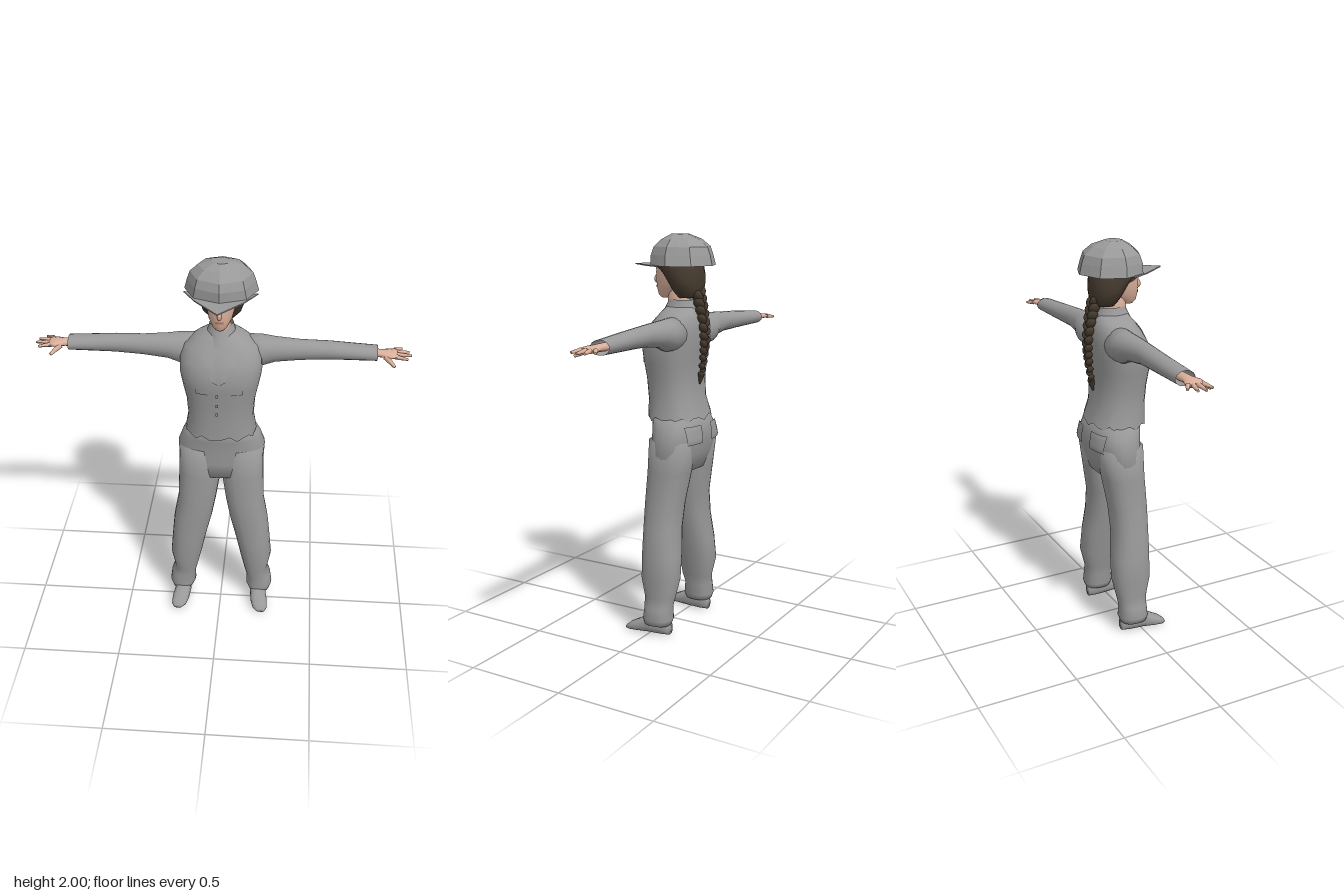
import * as THREE from 'three';

const mat = (name, color, side = THREE.DoubleSide, flatShading = false) => {
  const m = new THREE.MeshStandardMaterial({ color, side, flatShading });
  m.name = name;
  return m;
};

// Axis layouts: a section's (height, u, v) become x, y, z
const AXES = {
  y: (h, u, v) => [u, h, v],
  x: (h, u, v) => [h, v, u],
  z: (h, u, v) => [v, u, h],
};

// Skin over superellipse sections [h, uCentre, uRadius, vMax, vMin]
function loft(sections, { axis = 'y', n = 20, e = 2, bottom = true, top = true, pleat = 0 } = {}) {
  const pos = [], index = [], rows = sections.length;
  const pow = (c) => Math.sign(c) * Math.abs(c) ** (2 / e);
  for (const [h, uc, ur, v1, v0] of sections) {
    for (let j = 0; j < n; j++) {
      const t = (j / n) * Math.PI * 2, k = j % 2 ? 1 - pleat : 1;
      pos.push(...AXES[axis](h, uc + ur * k * pow(Math.cos(t)), (v1 + v0) / 2 + ((v1 - v0) / 2) * k * pow(Math.sin(t))));
    }
  }
  for (let i = 0; i < rows - 1; i++) {
    for (let j = 0; j < n; j++) {
      const a = i * n + j, b = i * n + (j + 1) % n;
      index.push(a, a + n, b, b, a + n, b + n);
    }
  }
  const cap = (row, flip) => {
    const [h, uc, , v1, v0] = sections[row], c = pos.length / 3;
    pos.push(...AXES[axis](h, uc, (v1 + v0) / 2));
    for (let j = 0; j < n; j++) {
      const a = row * n + j, b = row * n + (j + 1) % n;
      index.push(c, ...(flip ? [a, b] : [b, a]));
    }
  };
  if (bottom) cap(0, true);
  if (top) cap(rows - 1, false);
  const g = new THREE.BufferGeometry();
  g.setAttribute('position', new THREE.Float32BufferAttribute(pos, 3));
  g.setIndex(index);
  g.computeVertexNormals();
  return g;
}

// Depth of a lofted body at (x, y), on the front (+1) or back (-1)
function surface(sections, e, x, y, side) {
  let i = 0;
  while (i < sections.length - 2 && sections[i + 1][0] < y) i++;
  const a = sections[i], b = sections[i + 1];
  const t = THREE.MathUtils.clamp((y - a[0]) / (b[0] - a[0]), 0, 1);
  const [, uc, ur, v1, v0] = a.map((v, k) => v + (b[k] - v) * t);
  const r = Math.min(1, Math.abs((x - uc) / ur));
  return (v1 + v0) / 2 + side * ((v1 - v0) / 2) * (1 - r ** e) ** (1 / e);
}

// Thin four-cornered panel laid on a body: bottom left, bottom right, top right, top left
function panel(sections, e, corners, side = 1, lift = 0.005) {
  const [bl, br, tr, tl] = corners;
  const g = new THREE.PlaneGeometry(1, 1, 5, 7), p = g.attributes.position;
  const mix = THREE.MathUtils.lerp;
  for (let i = 0; i < p.count; i++) {
    const u = p.getX(i) + 0.5, v = p.getY(i) + 0.5;
    const x = mix(mix(bl[0], br[0], u), mix(tl[0], tr[0], u), v);
    const y = mix(mix(bl[1], br[1], u), mix(tl[1], tr[1], u), v);
    p.setXYZ(i, x, y, surface(sections, e, x, y, side) + side * lift);
  }
  if (side < 0) g.index.array.reverse();
  g.computeVertexNormals();
  return g;
}
const box = (x, y, w, h) => [[x - w, y - h], [x + w, y - h], [x + w, y + h], [x - w, y + h]];

// Tapered rod between two points
function rod(a, b, ra, rb) {
  const p = new THREE.Vector3(...a), q = new THREE.Vector3(...b), d = q.clone().sub(p);
  const g = new THREE.CylinderGeometry(rb, ra, d.length(), 8);
  g.applyQuaternion(new THREE.Quaternion().setFromUnitVectors(new THREE.Vector3(0, 1, 0), d.normalize()));
  const m = p.add(q).multiplyScalar(0.5);
  return g.translate(m.x, m.y, m.z);
}

function mirrored(geometry) {
  const g = geometry.clone().scale(-1, 1, 1);
  g.index.array.reverse();
  g.computeVertexNormals();
  return g;
}

const TORSO = [
  [1.11, 0, 0.178, 0.095, -0.185], [1.2, 0, 0.163, 0.095, -0.155], [1.3, 0, 0.17, 0.102, -0.148],
  [1.38, 0, 0.187, 0.113, -0.153], [1.45, 0, 0.2, 0.12, -0.163], [1.52, 0, 0.2, 0.1, -0.168],
  [1.58, 0, 0.178, 0.065, -0.165], [1.62, 0, 0.12, 0.04, -0.15], [1.65, 0, 0.065, 0.02, -0.13]];
const HIPS = [
  [0.84, 0, 0.2, 0.045, -0.15], [0.92, 0, 0.218, 0.05, -0.175], [1.0, 0, 0.222, 0.052, -0.195],
  [1.06, 0, 0.2, 0.058, -0.188], [1.13, 0, 0.165, 0.07, -0.165]];
const LEG = [
  [0.06, 0.212, 0.058, 0.03, -0.11], [0.09, 0.211, 0.07, 0.035, -0.12], [0.15, 0.207, 0.066, 0.03, -0.115],
  [0.2, 0.191, 0.062, 0.04, -0.122], [0.3, 0.189, 0.084, 0.055, -0.145], [0.42, 0.171, 0.091, 0.06, -0.14],
  [0.55, 0.149, 0.1, 0.06, -0.125], [0.68, 0.125, 0.1, 0.065, -0.13], [0.84, 0.11, 0.11, 0.056, -0.157],
  [1.0, 0.11, 0.105, 0.05, -0.18]];
const ARM = [
  [0.1, -0.075, 0.075, 1.61, 1.44], [0.2, -0.08, 0.075, 1.605, 1.45], [0.26, -0.073, 0.062, 1.6, 1.475],
  [0.38, -0.07, 0.05, 1.592, 1.49], [0.52, -0.078, 0.048, 1.585, 1.495], [0.75, -0.08, 0.05, 1.567, 1.498]];
const HAND = [
  [0.71, -0.08, 0.026, 1.552, 1.512], [0.77, -0.078, 0.028, 1.55, 1.515],
  [0.81, -0.075, 0.046, 1.548, 1.516], [0.845, -0.08, 0.046, 1.542, 1.518]];
const SHOE = [
  [-0.105, 0.035, 0.03, 0.225, 0.175], [-0.06, 0.05, 0.048, 0.24, 0.165], [0.01, 0.05, 0.048, 0.25, 0.165],
  [0.07, 0.032, 0.03, 0.262, 0.172], [0.11, 0.022, 0.02, 0.262, 0.185], [0.13, 0.015, 0.01, 0.25, 0.205]];
const HEAD = [
  [1.69, 0, 0.022, 0.06, 0], [1.705, 0, 0.036, 0.075, -0.03], [1.74, 0, 0.056, 0.083, -0.08],
  [1.78, 0, 0.067, 0.086, -0.12], [1.82, 0, 0.073, 0.085, -0.14], [1.87, 0, 0.073, 0.08, -0.14],
  [1.93, 0, 0.05, 0.04, -0.1]];
const HAIR = [
  [1.695, 0, 0.06, -0.045, -0.15], [1.73, 0, 0.092, -0.02, -0.163], [1.77, 0, 0.105, 0.005, -0.168],
  [1.81, 0, 0.108, 0.035, -0.168], [1.84, 0, 0.104, 0.07, -0.165], [1.87, 0, 0.1, 0.085, -0.16],
  [1.94, 0, 0.07, 0.03, -0.13]];
const HAT = [
  [1.85, 0, 0.175, 0.1, -0.222], [1.9, 0, 0.162, 0.1, -0.21], [1.94, 0, 0.148, 0.085, -0.195],
  [1.975, 0, 0.11, 0.045, -0.15], [2.0, 0, 0.045, 0, -0.085]];

export function createModel() {
  const root = new THREE.Group();
  const cloth = mat('greyCloth', 0x999999);
  const hatCloth = cloth.clone();
  hatCloth.flatShading = true;
  const skin = mat('skin', 0xdcb09b), hair = mat('brownHair', 0x453a2e);
  const white = mat('eyeWhite', 0xe6e0da), dark = mat('darkEye', 0x33271f), lip = mat('lips', 0xb87468);
  const add = (name, geometry, material) => {
    const m = new THREE.Mesh(geometry, material);
    m.name = name;
    root.add(m);
    return m;
  };
  const pair = (name, geometry, material) => {
    add('left' + name, geometry, material);
    add('right' + name, mirrored(geometry), material);
  };

  // Jacket with an uneven hem
  const jacket = loft(TORSO, { n: 28, e: 2.4, bottom: false });
  for (let j = 0; j < 28; j++) jacket.attributes.position.setY(j, 1.105 + 0.014 * Math.sin(j * 2.3));
  jacket.computeVertexNormals();
  add('jacket', jacket, cloth);
  add('collar', loft([[1.59, 0, 0.1, 0.06, -0.15], [1.64, 0, 0.07, 0.035, -0.138], [1.685, 0, 0.056, 0.012, -0.125]],
    { bottom: false, top: false }), cloth);
  pair('Lapel', panel(TORSO, 2.4, [[0.002, 1.43], [0.03, 1.45], [0.09, 1.57], [0.045, 1.61]]), cloth);
  pair('JacketPocket', panel(TORSO, 2.4, box(0.085, 1.385, 0.03, 0.012)), cloth);
  for (const y of [1.26, 1.31, 1.37]) add('jacketButton', panel(TORSO, 2.4, box(-0.01, y, 0.006, 0.009), 1, 0.008), cloth);

  // Trousers
  add('trouserHips', loft(HIPS, { n: 28, e: 2.4 }), cloth);
  pair('TrouserLeg', loft(LEG, { e: 2.3 }), cloth);
  pair('BackPocket', panel(HIPS, 2.4, box(0.1, 1.03, 0.055, 0.045), -1, 0.009), cloth);
  pair('Shoe', loft(SHOE, { axis: 'z', n: 14, e: 2.4 }), cloth);

  // Sleeves and hands
  pair('Sleeve', loft(ARM, { axis: 'x', top: false }), cloth);
  pair('Palm', loft(HAND, { axis: 'x', n: 12 }), skin);
  const fingers = [
    [[0.835, -0.118], [0.872, -0.142]], [[0.84, -0.095], [0.905, -0.11]],
    [[0.84, -0.072], [0.915, -0.075]], [[0.835, -0.047], [0.895, -0.033]]];
  for (const [[x0, z0], [x1, z1]] of fingers) pair('Finger', rod([x0, 1.531, z0], [x1, 1.526, z1], 0.012, 0.006), skin);
  pair('Thumb', rod([0.79, 1.527, -0.05], [0.832, 1.5, -0.002], 0.015, 0.007), skin);

  // Head and face
  add('neck', loft([[1.6, 0, 0.05, 0.02, -0.1], [1.73, 0, 0.046, 0.02, -0.09]], { n: 16 }), skin);
  add('head', loft(HEAD, { n: 24 }), skin);
  const nose = new THREE.SphereGeometry(1, 10, 8).scale(0.011, 0.024, 0.016).rotateX(-0.3).translate(0, 1.783, 0.087);
  add('nose', nose, skin);
  pair('EyeWhite', panel(HEAD, 2, box(0.028, 1.815, 0.013, 0.005), 1, 0.002), white);
  pair('Iris', panel(HEAD, 2, box(0.028, 1.815, 0.005, 0.005), 1, 0.003), dark);
  pair('Eyebrow', panel(HEAD, 2, [[0.013, 1.829], [0.045, 1.83], [0.045, 1.833], [0.013, 1.834]], 1, 0.002), hair);
  add('mouth', panel(HEAD, 2, box(0, 1.744, 0.02, 0.006), 1, 0.003), lip);

  // Hair, side fringe and braid
  add('hair', loft(HAIR, { n: 24 }), hair);
  add('rightFringe', panel(HEAD, 2, [[-0.071, 1.8], [-0.055, 1.815], [0.01, 1.86], [-0.071, 1.86]], 1, 0.005), hair);
  const braid = new THREE.CatmullRomCurve3([[1.72, -0.145], [1.62, -0.17], [1.5, -0.185], [1.4, -0.178], [1.28, -0.16]]
    .map(([y, z]) => new THREE.Vector3(0, y, z)));
  const strands = 22;
  for (let i = 0; i < strands; i++) {
    const t = i / (strands - 1), s = i % 2 ? 1 : -1, r = 0.031 - 0.016 * t, p = braid.getPoint(t * 0.92);
    const g = new THREE.SphereGeometry(1, 10, 8).scale(r * 0.75, r * 1.15, r).rotateZ(-s * 0.6);
    add('braidStrand', g.translate(s * r * 0.5, p.y, p.z), hair);
  }
  add('braidTip', rod([0, 1.32, -0.166], [0, 1.27, -0.157], 0.018, 0.004), hair);

  // Puffy cap with a pointed visor
  add('hatCrown', loft(HAT, { n: 16, bottom: false, pleat: 0.07 }), hatCloth);
  const visor = new THREE.Shape([[-0.175, 0.02], [-0.115, -0.08], [0, -0.215], [0.115, -0.08], [0.175, 0.02], [0, -0.06]]
    .map(([x, y]) => new THREE.Vector2(x, y)));
  const brim = new THREE.ExtrudeGeometry(visor, { depth: 0.006, bevelEnabled: false });
  add('hatVisor', brim.rotateX(-Math.PI / 2).translate(0, 1.847, 0), hatCloth);
  return root;
}
